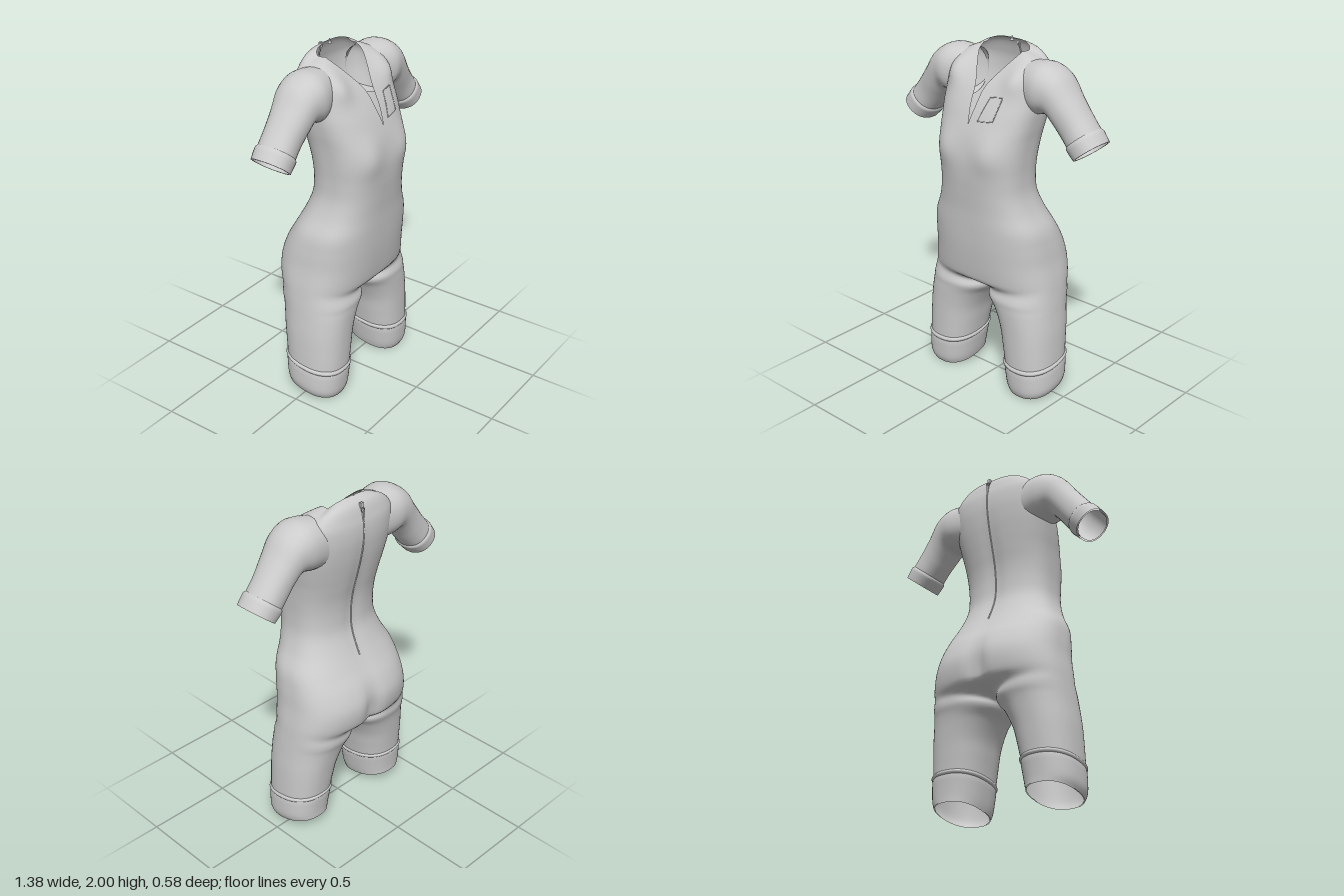
import * as THREE from 'three';
import { mergeVertices, mergeGeometries } from 'three/addons/utils/BufferGeometryUtils.js';

const material = new THREE.MeshStandardMaterial({ color: 0xcccccc, roughness: 0.8, side: THREE.DoubleSide });
const V = (x, y, z) => new THREE.Vector3(x, y, z);
const lerp = THREE.MathUtils.lerp;
const gauss = (d, w) => Math.exp(-((d / w) ** 2));
const spow = (v, p) => Math.sign(v) * Math.abs(v) ** p;

// Body levels, bottom to top: y, outer half width, front z, back z,
// inner x (inside of the leg below the crotch, half width of the neck slit above the chest)
const BODY = [
  [0.03, 0.435, 0.165, -0.15, 0.172],
  [0.08, 0.45, 0.182, -0.153, 0.16],
  [0.2, 0.448, 0.19, -0.165, 0.14],
  [0.3, 0.445, 0.193, -0.177, 0.122],
  [0.4, 0.44, 0.195, -0.19, 0.1],
  [0.5, 0.43, 0.198, -0.207, 0.055],
  [0.56, 0.424, 0.2, -0.225, 0.008],
  [0.62, 0.417, 0.21, -0.255, 0],
  [0.7, 0.407, 0.228, -0.288, 0],
  [0.8, 0.39, 0.242, -0.295, 0],
  [0.9, 0.378, 0.252, -0.262, 0],
  [1.0, 0.358, 0.258, -0.205, 0],
  [1.1, 0.308, 0.263, -0.155, 0],
  [1.2, 0.276, 0.272, -0.12, 0],
  [1.3, 0.27, 0.28, -0.115, 0],
  [1.4, 0.275, 0.28, -0.125, 0],
  [1.5, 0.284, 0.265, -0.148, 0],
  [1.585, 0.297, 0.24, -0.168, 0],
  [1.68, 0.308, 0.2, -0.187, 0.017],
  [1.78, 0.308, 0.14, -0.198, 0.035],
  [1.87, 0.285, 0.06, -0.192, 0.092],
  [1.925, 0.22, 0.0, -0.165, 0.13],
  [1.948, 0.147, -0.04, -0.112, 0.138],
];

// Smooth interpolation between the rows of a table
function sample(keys, t) {
  const i = Math.min(Math.floor(t), keys.length - 2), f = t - i;
  const row = (n) => keys[THREE.MathUtils.clamp(n, 0, keys.length - 1)];
  return row(i).map((b, k) => {
    const a = row(i - 1)[k], c = row(i + 1)[k], d = row(i + 2)[k];
    return b + 0.5 * f * (c - a + f * (2 * a - 5 * b + 4 * c - d + f * (3 * (b - c) + d - a)));
  });
}

// Point on the left half of the body; s runs front centre, side, back centre
function bodyPoint(t, s, grow = 0) {
  let [y, out, zf, zb, inner] = sample(BODY, t);
  inner = Math.max(0, inner);
  if (y > 0.57 && y < 1.585) inner = 0;
  out += grow; zf += grow; zb -= grow;
  const zc = (zf + zb) / 2, rz = (zf - zb) / 2, a = Math.PI * s;
  // trunk outline: half oval, open at the front where the neck slit is
  const gap = y > 1 && s < 0.5 ? inner : 0;
  const sn = Math.max(0, Math.sin(a)) ** 0.78;
  const tx = gap + (out - gap) * (s === 0 || s === 1 ? 0 : sn);
  const tz = zc + rz * spow(Math.cos(a), 0.75);
  // leg outline: closed oval
  const inX = y < 1 ? Math.max(0, inner - grow) : 0;
  const lx = (inX + out) / 2 - ((out - inX) / 2) * spow(Math.cos(2 * a), 0.85);
  const lz = zc + rz * spow(Math.sin(2 * a), 0.85);
  const k = 1 - THREE.MathUtils.smoothstep(y, 0.56, 0.67);
  const x = lerp(tx, lx, k);
  let z = lerp(tz, lz, k);
  // bust, upper chest, seat cleft and spine groove
  if (s < 0.5) {
    z += 0.022 * gauss(x - 0.16, 0.09) * gauss(y - 1.44, 0.1);
    z += 0.045 * gauss(x - 0.22, 0.08) * gauss(y - 1.84, 0.08);
  } else {
    z += 0.035 * gauss(x, 0.05) * gauss(y - 0.74, 0.13);
    z += 0.012 * gauss(x, 0.05) * gauss(y - 1.4, 0.35);
  }
  // slanted hems and raised back collar
  const low = 1 - THREE.MathUtils.smoothstep(y, 0.03, 0.5);
  const high = THREE.MathUtils.smoothstep(y, 1.88, 1.948);
  y += -0.2 * low * z + 0.04 * high * Math.max(0, -Math.cos(a));
  return V(x, y, z);
}

// Skin over rows of points, bottom to top
function loft(rows) {
  const n = rows[0].length, pos = [], idx = [];
  rows.forEach((r) => r.forEach((p) => pos.push(p.x, p.y, p.z)));
  for (let i = 0; i < rows.length - 1; i++) for (let j = 0; j < n - 1; j++) {
    const a = i * n + j, d = a + n;
    idx.push(a, a + 1, d + 1, a, d + 1, d);
  }
  const g = new THREE.BufferGeometry();
  g.setAttribute('position', new THREE.Float32BufferAttribute(pos, 3));
  g.setIndex(idx);
  return g;
}
function mirrored(g) {
  const m = g.clone().scale(-1, 1, 1), ix = m.index.array;
  for (let i = 0; i < ix.length; i += 3) [ix[i], ix[i + 1]] = [ix[i + 1], ix[i]];
  return m;
}
function smooth(g) {
  const m = mergeVertices(g, 1e-4);
  m.computeVertexNormals();
  return m;
}
const range = (n, fn) => Array.from({ length: n + 1 }, (_, i) => fn(i / n));
const bodyRows = (t0, t1, n, grow = () => 0) =>
  range(n, (f) => range(48, (s) => bodyPoint(lerp(t0, t1, f), s, grow(f))));

// Sleeve sections, shoulder to hem: top x y, underside x y, centre z, half depth
const SLEEVE = [
  [0.2, 1.915, 0.23, 1.64, -0.04, 0.125],
  [0.33, 1.927, 0.3, 1.645, -0.03, 0.143],
  [0.43, 1.88, 0.36, 1.655, -0.03, 0.13],
  [0.505, 1.785, 0.405, 1.61, -0.03, 0.115],
  [0.575, 1.695, 0.45, 1.55, -0.034, 0.105],
  [0.64, 1.615, 0.495, 1.497, -0.034, 0.104],
  [0.682, 1.56, 0.545, 1.448, -0.032, 0.1],
];
function sleeveRing(t, grow = 0) {
  const [ax, ay, bx, by, zc, rz] = sample(SLEEVE, t);
  const half = V((ax - bx) / 2, (ay - by) / 2, 0), scale = 1 + grow / half.length();
  return range(32, (u) => {
    const a = u * Math.PI * 2, c = spow(Math.cos(a), 0.9) * scale;
    return V((ax + bx) / 2 + half.x * c, (ay + by) / 2 + half.y * c, zc + (rz + grow) * spow(Math.sin(a), 0.9));
  });
}

export function createModel() {
  const group = new THREE.Group();
  const add = (name, geometry) => {
    const mesh = new THREE.Mesh(geometry, material);
    mesh.name = name;
    group.add(mesh);
    return mesh;
  };
  const addPair = (name, g) => {
    add('left' + name, smooth(g));
    add('right' + name, smooth(mirrored(g)));
  };

  // Trunk and legs in one skin
  const half = loft(bodyRows(0, BODY.length - 1, 132));
  const body = add('bodysuit', smooth(mergeGeometries([half, mirrored(half)])));

  // Raised leg hems and their seam ridges
  const hem = (f) => 0.005 * Math.min(1, (1 - f) * 8);
  addPair('LegHem', loft(bodyRows(0, 2, 16, hem)));
  addPair('LegSeam', loft(bodyRows(1.85, 2.1, 6, (f) => 0.009 * Math.sin(Math.PI * f))));

  // Sleeves with cuffs
  addPair('Sleeve', loft(range(36, (f) => sleeveRing(f * 6))));
  addPair('SleeveCuff', loft(range(10, (f) => sleeveRing(lerp(4.85, 6, f), 0.009 * Math.min(1, f * 8)))));

  // Depth of the body skin in front (side 1) or behind (side -1)
  body.updateMatrixWorld();
  const skin = (x, y, side) => {
    const ray = new THREE.Raycaster(V(x, y, side * 2), V(0, 0, -side));
    const hit = ray.intersectObject(body)[0];
    return V(x, y, hit ? hit.point.z : side * 0.2);
  };

  // Stitched chest pocket
  const corners = [[0.055, 1.61], [0.15, 1.62], [0.172, 1.745], [0.095, 1.735], [0.055, 1.61]];
  const stitch = new THREE.CurvePath();
  for (let i = 0; i < 4; i++) {
    const pts = range(4, (f) => skin(lerp(corners[i][0], corners[i + 1][0], f), lerp(corners[i][1], corners[i + 1][1], f), 1));
    stitch.add(new THREE.CatmullRomCurve3(pts));
  }
  add('pocketStitch', new THREE.TubeGeometry(stitch, 48, 0.0025, 5));

  // Back zip with its pull
  const spine = range(20, (f) => skin(0, lerp(1.05, 1.95, f), -1));
  add('backZip', new THREE.TubeGeometry(new THREE.CatmullRomCurve3(spine), 60, 0.005, 6));
  const top = spine[20];
  add('zipSlider', new THREE.BoxGeometry(0.018, 0.03, 0.014)).position.set(0, top.y, top.z - 0.006);
  add('zipRing', new THREE.TorusGeometry(0.011, 0.003, 6, 14)).position.set(0, top.y - 0.022, top.z - 0.018);
  add('zipTab', new THREE.BoxGeometry(0.012, 0.05, 0.005)).position.set(0, top.y - 0.055, top.z - 0.024);
  // Collar tip behind the neck
  add('collarTip', new THREE.ConeGeometry(0.012, 0.03, 6)).position.set(0, 1.985, -0.112);
  return group;
}
